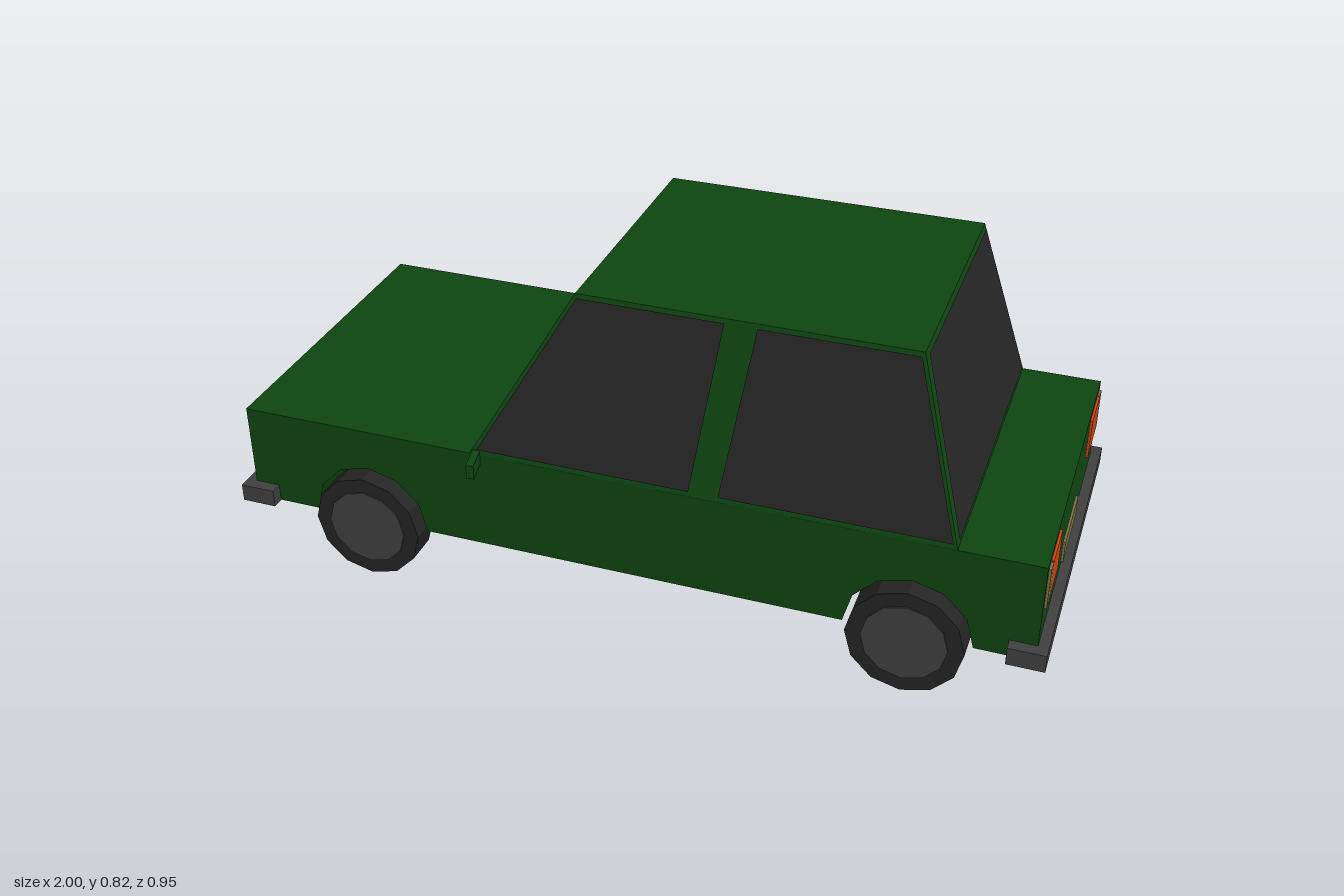
import * as THREE from 'three';

const mat = (name, color, extra = {}) => {
  const m = new THREE.MeshStandardMaterial({ color, ...extra });
  m.name = name;
  return m;
};

export function createModel() {
  const car = new THREE.Group();
  car.name = 'car';
  const paint = mat('green paint', 0x0f4511);
  const glass = mat('dark glass', 0x262626);
  const rubber = mat('tyre rubber', 0x242424);
  const grey = mat('grey trim', 0x404040);
  const orange = mat('orange lens', 0xd04410);
  const beige = mat('pale lens', 0x7c7148);

  const add = (name, geometry, material, parent = car) => {
    const mesh = new THREE.Mesh(geometry, material);
    mesh.name = name;
    parent.add(mesh);
    return mesh;
  };
  // box given by its minimum and maximum corners
  const box = (name, material, [x0, y0, z0], [x1, y1, z1]) => {
    const g = new THREE.BoxGeometry(x1 - x0, y1 - y0, z1 - z0);
    g.translate((x0 + x1) / 2, (y0 + y1) / 2, (z0 + z1) / 2);
    return add(name, g, material);
  };

  // Lower body: side profile with wheel arches running across the full width
  const axles = [-0.655, 0.685];
  const profile = new THREE.Shape();
  profile.moveTo(-0.975, 0.395);
  profile.lineTo(-0.975, 0.14);
  for (const x of axles) {
    for (let i = 0; i <= 6; i++) {
      const a = Math.PI * (1 - i / 6);
      profile.lineTo(x + 0.15 * Math.cos(a), 0.14 + 0.15 * Math.sin(a));
    }
  }
  profile.lineTo(0.975, 0.14);
  profile.lineTo(0.975, 0.395);
  const bodyGeo = new THREE.ExtrudeGeometry(profile, { depth: 0.82, bevelEnabled: false });
  bodyGeo.translate(0, 0, -0.41);
  add('lowerBody', bodyGeo, paint);

  // Cabin: a box whose top is pulled in
  const cabinGeo = new THREE.BoxGeometry(1, 1, 1).toNonIndexed();
  const p = cabinGeo.attributes.position;
  for (let i = 0; i < p.count; i++) {
    const top = p.getY(i) > 0;
    const rear = p.getX(i) > 0;
    const x = top ? (rear ? 0.66 : -0.13) : (rear ? 0.78 : -0.378);
    p.setXYZ(i, x, top ? 0.82 : 0.394, Math.sign(p.getZ(i)) * (top ? 0.327 : 0.41));
  }
  cabinGeo.computeVertexNormals();
  add('cabin', cabinGeo, paint);

  // Window panes: four corners, lifted slightly off the cabin and facing outwards
  const pane = (name, corners) => {
    let v = corners.map((c) => new THREE.Vector3(...c));
    const normalOf = () => v[1].clone().sub(v[0]).cross(v[2].clone().sub(v[0])).normalize();
    const outward = v[0].clone().add(v[2]).multiplyScalar(0.5).sub(new THREE.Vector3(0.2, 0.6, 0));
    if (normalOf().dot(outward) < 0) v.reverse();
    const n = normalOf();
    v.forEach((q) => q.addScaledVector(n, 0.004));
    const g = new THREE.BufferGeometry().setFromPoints(v);
    g.setIndex([0, 1, 2, 0, 2, 3]);
    g.computeVertexNormals();
    add(name, g, glass);
  };
  const y0 = 0.408, y1 = 0.81;
  const lerpAt = (y, low, high) => low + (high - low) * (y - 0.394) / 0.426;
  for (const s of [1, -1]) {
    const side = (name, a, b, c, d) => {
      const at = (x, y) => [x, y, s * lerpAt(y, 0.41, 0.327)];
      pane(name, [at(a, y0), at(b, y0), at(c, y1), at(d, y1)]);
    };
    side('frontSideWindow', -0.358, 0.165, 0.22, -0.125);
    side('rearSideWindow', 0.235, 0.77, 0.655, 0.295);
  }
  const endPane = (name, low, high) => {
    const xa = lerpAt(y0, low, high), xb = lerpAt(y1, low, high);
    pane(name, [[xa, y0, 0.392], [xa, y0, -0.392], [xb, y1, -0.315], [xb, y1, 0.315]]);
  };
  endPane('windscreen', -0.378, -0.13);
  endPane('rearWindow', 0.78, 0.66);

  // Bumpers: a bar with short returns along each side
  for (const [name, s] of [['frontBumper', -1], ['rearBumper', 1]]) {
    const bumper = new THREE.Group();
    bumper.name = name;
    car.add(bumper);
    const bar = add('bar', new THREE.BoxGeometry(0.03, 0.045, 0.88), grey, bumper);
    bar.position.set(s * 0.985, 0.1615, 0);
    for (const z of [-0.425, 0.425]) {
      const end = add('bumperEnd', new THREE.BoxGeometry(0.06, 0.045, 0.03), grey, bumper);
      end.position.set(s * 0.942, 0.1615, z);
    }
  }

  // Lights and plates, as thin boxes on the end faces
  const plate = (name, material, s, ya, yb, za, zb) => {
    const xs = [s * 0.972, s * 0.981].sort((a, b) => a - b);
    box(name, material, [xs[0], ya, Math.min(za, zb)], [xs[1], yb, Math.max(za, zb)]);
  };
  for (const s of [1, -1]) {
    plate('tailLight', orange, 1, 0.275, 0.38, s * 0.237, s * 0.36);
    plate('reverseLight', beige, 1, 0.275, 0.38, s * 0.363, s * 0.393);
    plate('headlight', beige, -1, 0.275, 0.38, s * 0.215, s * 0.355);
    plate('indicator', beige, -1, 0.275, 0.38, s * 0.36, s * 0.393);
  }
  plate('rearPlate', beige, 1, 0.195, 0.25, -0.1, 0.1);
  plate('frontPlate', rubber, -1, 0.195, 0.25, -0.1, 0.1);

  // Wheels and mirrors, mirrored left to right
  for (const s of [1, -1]) {
    for (const x of axles) {
      const wheel = new THREE.Group();
      wheel.name = x < 0 ? 'frontWheel' : 'rearWheel';
      wheel.position.set(x, 0.1375, s * 0.397);
      wheel.rotation.x = s * Math.PI / 2;
      const tyreGeo = new THREE.CylinderGeometry(0.1375, 0.1375, 0.084, 12).toNonIndexed();
      tyreGeo.computeVertexNormals();
      add('tyre', tyreGeo, rubber, wheel);
      const hub = add('hubcap', new THREE.CylinderGeometry(0.1, 0.1, 0.006, 12), grey, wheel);
      hub.position.y = 0.042;
      car.add(wheel);
    }
    const mirror = add('wingMirror', new THREE.BoxGeometry(0.018, 0.036, 0.085), paint);
    mirror.position.set(-0.355, 0.387, s * 0.432);
    mirror.rotation.y = s * 0.2;
  }
  return car;
}
